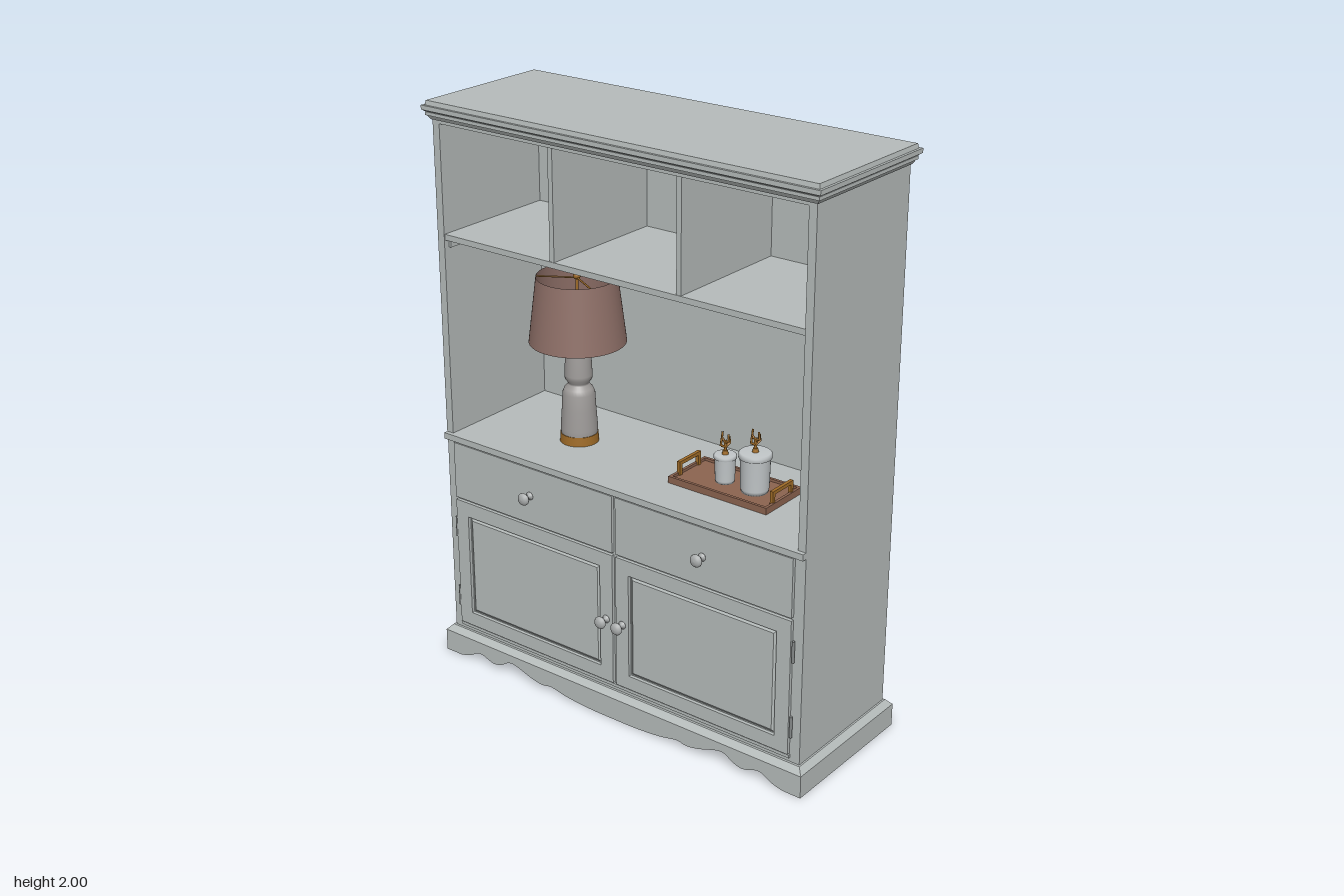
import * as THREE from 'three';

const mat = (name, color, side = THREE.FrontSide) => {
  const m = new THREE.MeshStandardMaterial({ color, side });
  m.name = name;
  return m;
};

export function createModel() {
  const paint = mat('grey paint', 0xb6bcbb);
  const knobGrey = mat('knob grey', 0xabaeae);
  const hingeGrey = mat('hinge grey', 0x858989);
  const ceramic = mat('lamp ceramic', 0xa09d9b);
  const shadeBrown = mat('shade brown', 0x8f7068, THREE.DoubleSide);
  const gold = mat('gold', 0xa06c28);
  const wood = mat('tray wood', 0x8c6450);
  const potWhite = mat('pot white', 0xc2c7c9);
  const root = new THREE.Group();

  const add = (name, geo, m, x = 0, y = 0, z = 0, parent = root) => {
    const mesh = new THREE.Mesh(geo, m);
    mesh.name = name;
    mesh.position.set(x, y, z);
    parent.add(mesh);
    return mesh;
  };
  // Box given by its limits on each axis
  const box = (name, x0, x1, y0, y1, z0, z1, m = paint, parent = root) =>
    add(name, new THREE.BoxGeometry(x1 - x0, y1 - y0, z1 - z0), m, (x0 + x1) / 2, (y0 + y1) / 2, (z0 + z1) / 2, parent);
  const lathe = (pts, n = 32) => new THREE.LatheGeometry(pts.map(p => new THREE.Vector2(...p)), n);
  const rod = (name, a, b, r, m, parent) =>
    add(name, new THREE.TubeGeometry(new THREE.LineCurve3(new THREE.Vector3(...a), new THREE.Vector3(...b)), 1, r, 8), m, 0, 0, 0, parent);

  const W = 0.735, ZB = -0.26, ZF = 0.235, ZC = (ZB + ZF) / 2, D = (ZF - ZB) / 2;

  // Moulding step around the carcass: overhang o0 at the bottom, o1 at the top
  const moulding = (name, y0, y1, o0, o1) => {
    const g = new THREE.BoxGeometry(2, y1 - y0, 2);
    const p = g.attributes.position;
    for (let i = 0; i < p.count; i++) {
      const o = p.getY(i) > 0 ? o1 : o0;
      p.setX(i, p.getX(i) * (W + o));
      p.setZ(i, p.getZ(i) * (D + o));
    }
    g.computeVertexNormals();
    return add(name, g, paint, 0, (y0 + y1) / 2, ZC);
  };

  // Carcass
  box('lowerCabinet', -W, W, 0.06, 0.83, ZB, ZF - 0.002);
  box('backPanel', -W, W, 0.83, 1.945, ZB, ZB + 0.02);
  for (const s of [-1, 1]) {
    const a = s * W, b = s * 0.707;
    box('sidePanel', Math.min(a, b), Math.max(a, b), 0.83, 1.945, ZB + 0.02, ZF);
    box('divider', s * 0.249 - 0.009, s * 0.249 + 0.009, 1.558, 1.928, ZB + 0.02, ZF - 0.005);
    box('shelfCleat', s * 0.702 - 0.005, s * 0.702 + 0.005, 1.51, 1.538, ZB + 0.02, ZF - 0.02);
  }
  box('cubbyShelf', -0.707, 0.707, 1.538, 1.558, ZB + 0.02, ZF - 0.003);
  box('topPanel', -0.707, 0.707, 1.927, 1.945, ZB + 0.02, ZF);
  box('counter', -W, W, 0.828, 0.85, ZB + 0.02, 0.25);

  // Crown
  moulding('crownCove', 1.938, 1.952, 0.004, 0.012);
  moulding('crownBead', 1.952, 1.963, 0.016, 0.016);
  moulding('crownSlope', 1.963, 1.97, 0.014, 0.024);
  moulding('crownBand', 1.97, 1.985, 0.025, 0.025);
  moulding('crownTop', 1.985, 2, 0.016, 0.013);

  // Plinth with scalloped aprons on the front and back
  const PW = W + 0.025, P0 = ZC - D - 0.025, P1 = ZC + D + 0.025;
  moulding('plinthCap', 0.08, 0.1, 0.025, 0.006);
  const half = [[0.1, 0.001], [0.2, 0.009], [0.27, 0.022], [0.31, 0.016], [0.36, 0.024], [0.45, 0.05],
    [0.5, 0.027], [0.54, 0.019], [0.6, 0.036], [0.65, 0.012], [0.69, 0.001]];
  const edge = [...half.map(([x, y]) => [-x, y]).reverse(), [0, 0], ...half].map(p => new THREE.Vector2(...p));
  const apron = new THREE.Shape();
  apron.moveTo(-PW, 0.08).lineTo(-PW, 0).lineTo(-0.69, 0.001);
  apron.splineThru(edge.slice(1));
  apron.lineTo(PW, 0).lineTo(PW, 0.08);
  const apronGeo = new THREE.ExtrudeGeometry(apron, { depth: 0.022, bevelEnabled: false, curveSegments: 4 });
  add('frontApron', apronGeo, paint, 0, 0, P1 - 0.022);
  add('backApron', apronGeo, paint, 0, 0, P0);
  for (const s of [-1, 1]) box('plinthSide', s * (PW - 0.011) - 0.011, s * (PW - 0.011) + 0.011, 0, 0.08, P0 + 0.022, P1 - 0.022);

  // Doors, drawers, hinges and knobs
  const rect = (P, x0, x1, y0, y1) => {
    const p = new P();
    p.moveTo(x0, y0).lineTo(x1, y0).lineTo(x1, y1).lineTo(x0, y1).closePath();
    return p;
  };
  const frame = rect(THREE.Shape, -0.345, 0.345, 0.13, 0.608);
  frame.holes.push(rect(THREE.Path, -0.292, 0.292, 0.18, 0.555));
  const frameGeo = new THREE.ExtrudeGeometry(frame, { depth: 0.012, bevelEnabled: false });
  const panelGeo = new THREE.BoxGeometry(0.584, 0.375, 0.01);
  const pp = panelGeo.attributes.position;
  for (let i = 0; i < pp.count; i++) if (pp.getZ(i) > 0) {
    pp.setX(i, pp.getX(i) - Math.sign(pp.getX(i)) * 0.014);
    pp.setY(i, pp.getY(i) - Math.sign(pp.getY(i)) * 0.014);
  }
  panelGeo.computeVertexNormals();
  const knobGeo = lathe([[0, 0], [0.014, 0], [0.014, 0.003], [0.008, 0.008], [0.008, 0.02], [0.017, 0.025],
    [0.0215, 0.031], [0.0215, 0.036], [0.017, 0.042], [0.009, 0.045], [0, 0.046]], 24);
  knobGeo.rotateX(Math.PI / 2);
  for (const s of [-1, 1]) {
    add('doorFrame', frameGeo, paint, s * 0.352, 0, 0.233);
    add('doorPanel', panelGeo, paint, s * 0.352, 0.3675, 0.235);
    box('drawerFront', s * 0.352 - 0.345, s * 0.352 + 0.345, 0.618, 0.822, 0.23, 0.245);
    for (const y of [0.5, 0.23]) add('hinge', new THREE.CylinderGeometry(0.005, 0.005, 0.075, 10), hingeGrey, s * 0.703, y, 0.239);
    add('drawerKnob', knobGeo, knobGrey, s * 0.357, 0.72, 0.244);
    add('doorKnob', knobGeo, knobGrey, s * 0.034, 0.365, 0.244);
  }
  box('bottomRail', -0.7, 0.7, 0.115, 0.126, 0.23, 0.241);

  // Table lamp
  const lamp = new THREE.Group();
  lamp.name = 'lamp';
  lamp.position.set(-0.335, 0.85, 0.01);
  root.add(lamp);
  add('lampFoot', new THREE.CylinderGeometry(0.064, 0.066, 0.032, 32), gold, 0, 0.016, 0, lamp);
  add('lampBody', lathe([[0.062, 0.032], [0.063, 0.05], [0.058, 0.12], [0.055, 0.175], [0.048, 0.192], [0.036, 0.205],
    [0.036, 0.212], [0.046, 0.226], [0.047, 0.24], [0.043, 0.325], [0.039, 0.338], [0, 0.339]]), ceramic, 0, 0, 0, lamp);
  add('lampNeck', new THREE.CylinderGeometry(0.012, 0.012, 0.035, 16), gold, 0, 0.35, 0, lamp);
  add('lampStem', new THREE.CylinderGeometry(0.005, 0.005, 0.22, 10), gold, 0, 0.47, 0, lamp);
  add('lampShade', new THREE.CylinderGeometry(0.135, 0.163, 0.226, 40, 1, true), shadeBrown, 0, 0.471, 0, lamp);
  for (let i = 0; i < 3; i++) {
    const a = i * Math.PI * 2 / 3 + 0.5;
    rod('shadeSpoke', [0, 0.578, 0], [0.135 * Math.cos(a), 0.578, 0.135 * Math.sin(a)], 0.003, gold, lamp);
  }
  add('finial', new THREE.SphereGeometry(0.013, 16, 10), gold, 0, 0.585, 0, lamp);

  // Tray with two handles
  const tray = new THREE.Group();
  tray.name = 'tray';
  tray.position.set(0.302, 0.85, 0);
  root.add(tray);
  box('trayFloor', -0.185, 0.185, 0.002, 0.014, -0.09, 0.09, wood, tray);
  for (const s of [-1, 1]) {
    box('trayLongRim', -0.192, 0.192, 0, 0.023, s * 0.093 - 0.005, s * 0.093 + 0.005, wood, tray);
    box('trayShortRim', s * 0.187 - 0.005, s * 0.187 + 0.005, 0, 0.023, -0.088, 0.088, wood, tray);
    for (const t of [-1, 1]) box('handlePost', s * 0.182 - 0.006, s * 0.182 + 0.006, 0.014, 0.062, t * 0.05 - 0.006, t * 0.05 + 0.006, gold, tray);
    box('handleBar', s * 0.182 - 0.006, s * 0.182 + 0.006, 0.05, 0.062, -0.044, 0.044, gold, tray);
  }

  // Lidded pots topped with little branching sprigs
  const pot = (x, r, h, sprig) => {
    const g = new THREE.Group();
    g.name = 'pot';
    g.position.set(x, 0.864, 0);
    root.add(g);
    add('potBody', lathe([[0, 0], [r * 0.84, 0], [r * 0.9, h * 0.1], [r * 0.95, h * 0.85], [r * 1.04, h * 0.87],
      [r * 1.04, h * 0.97], [r * 0.95, h], [0, h]]), potWhite, 0, 0, 0, g);
    add('sprigBase', new THREE.CylinderGeometry(0.008, 0.011, 0.014, 12), gold, 0, h + 0.006, 0, g);
    rod('sprigStem', [0, h, 0], [0, h + sprig * 0.65, 0], 0.005, gold, g);
    for (let i = 0; i < 4; i++) {
      const c = Math.cos(i * Math.PI / 2 + 0.3), n = Math.sin(i * Math.PI / 2 + 0.3);
      const y = h + sprig * (i % 2 ? 0.3 : 0.5), q = sprig * 0.24;
      rod('sprigBranch', [0, y, 0], [c * q, y + q * 0.6, n * q], 0.004, gold, g);
      rod('sprigTip', [c * q, y + q * 0.5, n * q], [c * q * 0.8, y + sprig * 0.45, n * q * 0.8], 0.0035, gold, g);
    }
  };
  pot(0.264, 0.036, 0.096, 0.078);
  pot(0.381, 0.052, 0.136, 0.078);

  return root;
}
